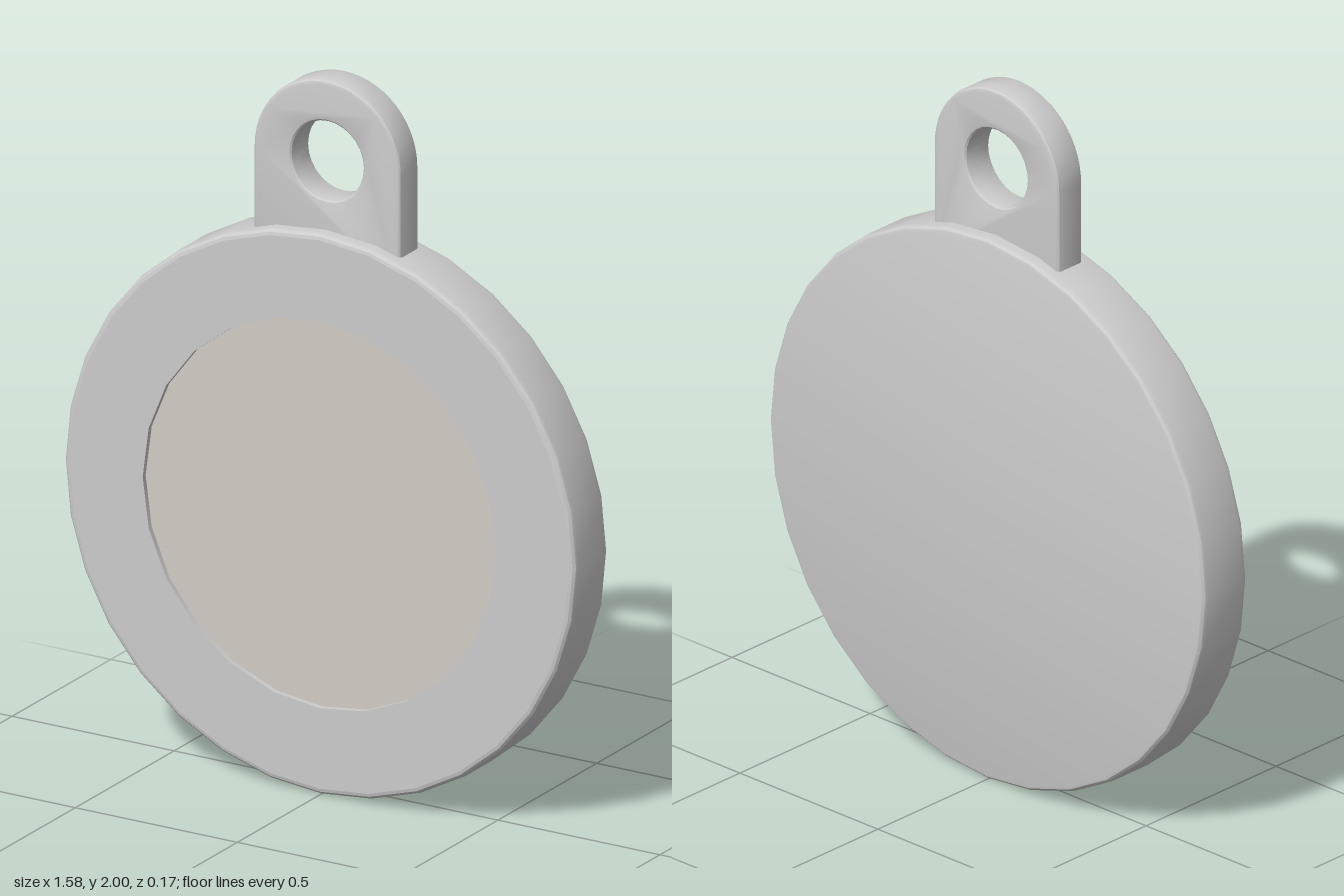
import * as THREE from 'three';
import { toCreasedNormals } from 'three/addons/utils/BufferGeometryUtils.js';

const R = 0.79, HALF = 0.085, BEVEL = 0.018; // disc
const INSET_R = 0.545, INSET_DEPTH = 0.015;  // recess in the front
const LUG_R = 0.227, LUG_Y = 1.773, LUG_HALF = 0.048, LUG_BEVEL = 0.012, HOLE_R = 0.11;

// regular polygon outline with a corner at the top
function polygon(radius, sides, Type) {
  const points = [];
  for (let i = 0; i < sides; i++) {
    const a = (i / sides) * Math.PI * 2;
    points.push(new THREE.Vector2(radius * Math.sin(a), radius * Math.cos(a)));
  }
  return new Type(points);
}

export function createModel() {
  const model = new THREE.Group();
  const grey = new THREE.MeshStandardMaterial({ color: 0xcccccc });
  const greyDouble = new THREE.MeshStandardMaterial({ color: 0xcccccc, side: THREE.DoubleSide });
  const beige = new THREE.MeshStandardMaterial({ color: 0xd1cbc4 });

  const add = (parent, name, geometry, material, z = 0) => {
    const mesh = new THREE.Mesh(geometry, material);
    mesh.name = name;
    mesh.position.z = z;
    parent.add(mesh);
  };

  // round body: back, rim and both rounded edges
  const disc = new THREE.Group();
  disc.name = 'disc';
  disc.position.y = R;
  model.add(disc);
  const profile = [new THREE.Vector2(0, -HALF)];
  for (const side of [-1, 1]) {
    for (let i = 0; i <= 3; i++) {
      const a = ((side < 0 ? 3 - i : i) / 3) * Math.PI / 2;
      profile.push(new THREE.Vector2(
        R - BEVEL + BEVEL * Math.cos(a),
        side * (HALF - BEVEL + BEVEL * Math.sin(a))));
    }
  }
  const body = new THREE.LatheGeometry(profile, 32).rotateX(Math.PI / 2);
  add(disc, 'discBody', toCreasedNormals(body, 0.4), grey);

  // front ring around the recess
  const ring = polygon(R - BEVEL, 32, THREE.Shape);
  ring.holes.push(polygon(INSET_R, 24, THREE.Path));
  add(disc, 'frontRing', new THREE.ShapeGeometry(ring), grey, HALF);

  // recess wall and coloured floor
  const wall = new THREE.CylinderGeometry(INSET_R, INSET_R, INSET_DEPTH, 24, 1, true).rotateX(Math.PI / 2);
  add(disc, 'recessWall', wall, greyDouble, HALF - INSET_DEPTH / 2);
  add(disc, 'insetPanel', new THREE.CircleGeometry(INSET_R, 24), beige, HALF - INSET_DEPTH);

  // hanging lug, its foot sunk into the disc
  const lug = new THREE.Shape();
  lug.moveTo(-LUG_R, 1.45);
  lug.lineTo(LUG_R, 1.45);
  lug.lineTo(LUG_R, LUG_Y);
  lug.absarc(0, LUG_Y, LUG_R, 0, Math.PI, false);
  lug.closePath();
  const hole = new THREE.Path();
  hole.absarc(0, LUG_Y, HOLE_R, 0, Math.PI * 2, true);
  lug.holes.push(hole);
  const depth = 2 * (LUG_HALF - LUG_BEVEL);
  const lugGeometry = new THREE.ExtrudeGeometry(lug, {
    depth, curveSegments: 14, bevelEnabled: true, bevelThickness: LUG_BEVEL,
    bevelSize: LUG_BEVEL, bevelOffset: -LUG_BEVEL, bevelSegments: 3,
  });
  add(model, 'hangingLug', toCreasedNormals(lugGeometry, 0.48), grey, -depth / 2);

  return model;
}
